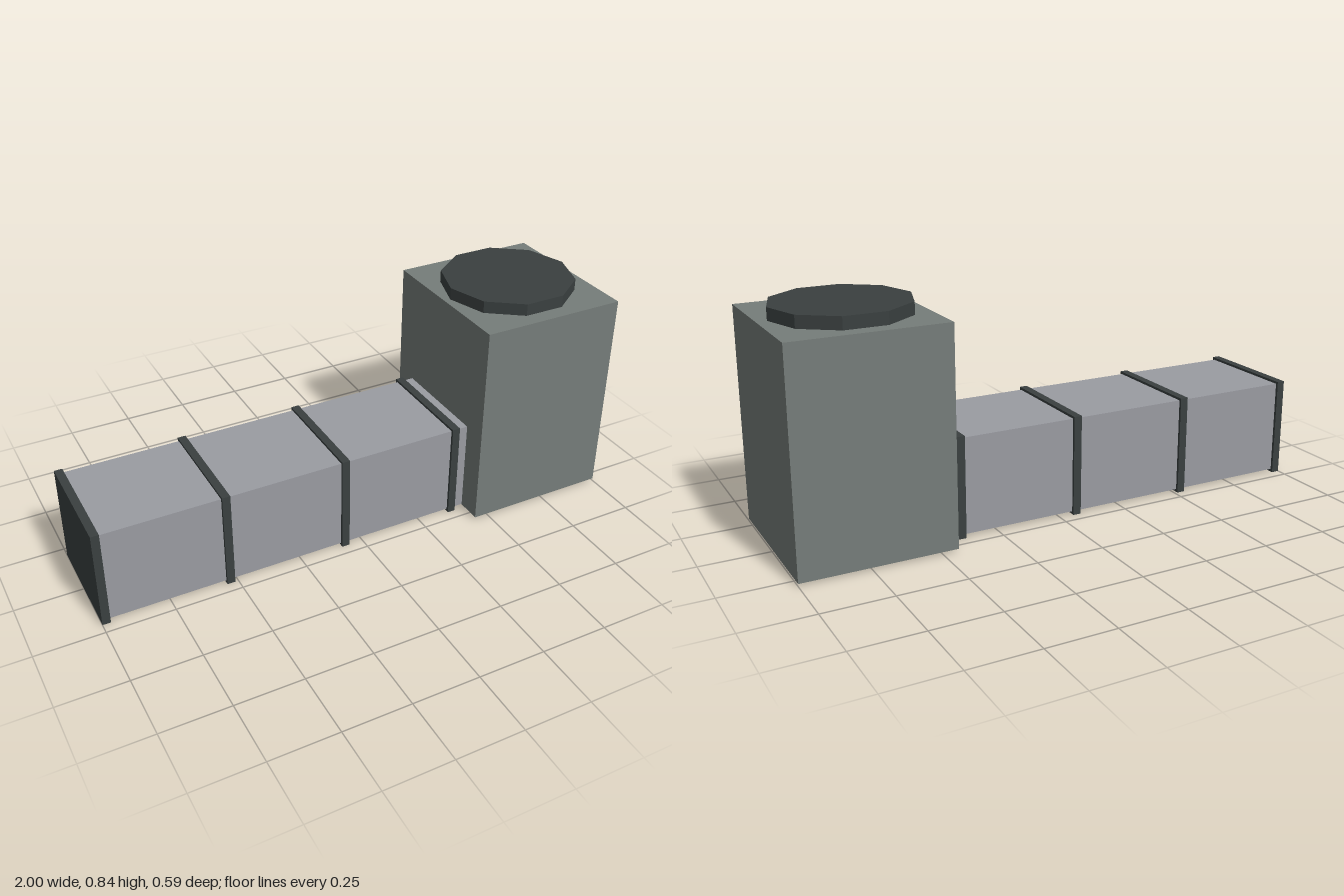
import * as THREE from 'three';

function material(name, color) {
  const m = new THREE.MeshStandardMaterial({ color });
  m.name = name;
  return m;
}

export function createModel() {
  const model = new THREE.Group();
  model.name = 'ductedVentUnit';
  const housingGrey = material('housing grey', 0x767d7a);
  const ductGrey = material('duct grey', 0x9a9ca2);
  const darkMetal = material('dark metal', 0x3a4040);

  // Box given by its lower and upper corners
  function box(name, mat, [x0, y0, z0], [x1, y1, z1]) {
    const mesh = new THREE.Mesh(new THREE.BoxGeometry(x1 - x0, y1 - y0, z1 - z0), mat);
    mesh.position.set((x0 + x1) / 2, (y0 + y1) / 2, (z0 + z1) / 2);
    mesh.name = name;
    model.add(mesh);
  }

  // Upright housing and the duct that runs into its side
  box('housing', housingGrey, [0.442, 0.009, -0.295], [1, 0.796, 0.295]);
  box('duct', ductGrey, [-0.998, 0.011, -0.2], [0.58, 0.366, 0.2]);

  // Evenly spaced flanges along the duct
  for (let i = 0; i < 4; i++) {
    const x = -0.985 + i * 0.458;
    box('flange' + (i + 1), darkMetal, [x - 0.015, 0, -0.21], [x + 0.015, 0.375, 0.21]);
  }

  // Ten-sided fan cap, with corners pointing along x
  const cap = new THREE.Mesh(
    new THREE.CylinderGeometry(0.248, 0.248, 0.046, 10, 1, false, Math.PI / 2),
    darkMetal
  );
  cap.geometry = cap.geometry.toNonIndexed();
  cap.geometry.computeVertexNormals();
  cap.position.set(0.715, 0.818, 0);
  cap.name = 'fanCap';
  model.add(cap);

  return model;
}
